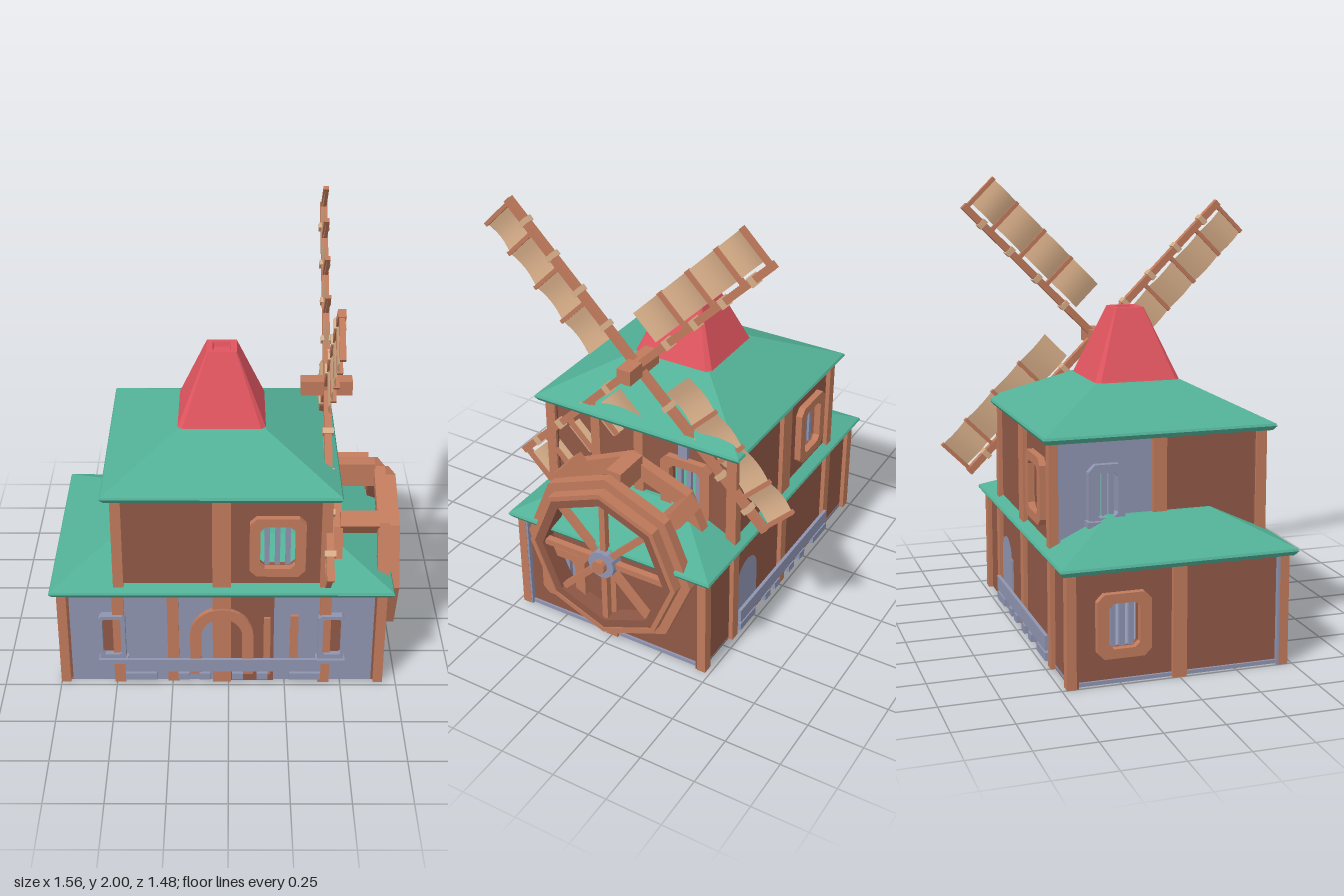
import * as THREE from 'three';

const mat = (name, color, extra = {}) => Object.assign(new THREE.MeshStandardMaterial({ color, ...extra }), { name });

export function createModel() {
  const root = new THREE.Group();
  root.name = 'mill';
  const wood = mat('timber', 0xc07a5c), plank = mat('dark planks', 0x905846), blue = mat('blue plaster', 0x8f94b0);
  const green = mat('green roof', 0x52b096), red = mat('red cap', 0xe0555f);
  const cloth = mat('sail cloth', 0xd6ad88, { side: THREE.DoubleSide });
  for (const m of [wood, plank, blue, green, red]) m.flatShading = true;

  const add = (parent, name, geo, material, x = 0, y = 0, z = 0) => {
    const m = new THREE.Mesh(geo, material);
    m.name = name;
    m.position.set(x, y, z);
    parent.add(m);
    return m;
  };
  const group = (parent, name, x = 0, y = 0, z = 0, ry = 0) => {
    const g = new THREE.Group();
    g.name = name;
    g.position.set(x, y, z);
    g.rotation.y = ry;
    parent.add(g);
    return g;
  };
  // Box given by its limits
  const block = (p, name, m, x0, x1, y0, y1, z0, z1) =>
    add(p, name, new THREE.BoxGeometry(x1 - x0, y1 - y0, z1 - z0), m, (x0 + x1) / 2, (y0 + y1) / 2, (z0 + z1) / 2);

  // Stacked rectangular sections [y, halfX, halfZ, chamfer]
  const loft = (sections) => {
    const rings = sections.map(([y, a, b, c = 0]) => (c
      ? [[-a + c, -b], [-a, -b + c], [-a, b - c], [-a + c, b], [a - c, b], [a, b - c], [a, -b + c], [a - c, -b]]
      : [[-a, -b], [-a, b], [a, b], [a, -b]]).map(([x, z]) => [x, y, z]));
    const pos = [], tri = (...v) => v.forEach((p) => pos.push(...p));
    const n = rings[0].length, top = rings[rings.length - 1], base = rings[0];
    for (let k = 0; k + 1 < rings.length; k++) for (let i = 0; i < n; i++) {
      const j = (i + 1) % n, a = rings[k], b = rings[k + 1];
      tri(a[i], a[j], b[j]);
      tri(a[i], b[j], b[i]);
    }
    for (let i = 1; i + 1 < n; i++) {
      tri(top[0], top[i], top[i + 1]);
      tri(base[0], base[i + 1], base[i]);
    }
    const g = new THREE.BufferGeometry();
    g.setAttribute('position', new THREE.Float32BufferAttribute(pos, 3));
    g.computeVertexNormals();
    return g;
  };

  // Rectangle outline with cut corners
  const outline = (Kind, cx, cy, w, h, c) => {
    const p = new Kind(), a = w / 2, b = h / 2;
    [[-a + c, -b], [a - c, -b], [a, -b + c], [a, b - c], [a - c, b], [-a + c, b], [-a, b - c], [-a, -b + c]]
      .forEach(([x, y], i) => (i ? p.lineTo(cx + x, cy + y) : p.moveTo(cx + x, cy + y)));
    p.closePath();
    return p;
  };
  const extrude = (shape, depth) => new THREE.ExtrudeGeometry(shape, { depth, bevelEnabled: false, curveSegments: 8 });

  // Wall panel with window openings [cx, cy, w, h]
  const wall = (p, m, x0, x1, y0, y1, holes = []) => {
    const s = new THREE.Shape([[x0, y0], [x1, y0], [x1, y1], [x0, y1]].map(([x, y]) => new THREE.Vector2(x, y)));
    holes.forEach(([cx, cy, w, h]) => s.holes.push(outline(THREE.Path, cx, cy, w, h, 0.02)));
    add(p, 'wall', extrude(s, 0.03), m, 0, 0, -0.03);
  };
  const post = (p, m, x, w, y0, y1, out = 0.02) => block(p, 'post', m, x - w / 2, x + w / 2, y0, y1, -0.02, out);

  // Framed window with upright bars
  const windowFrame = (p, m, cx, cy, w, h, inner, sill) => {
    const g = group(p, 'window');
    const s = outline(THREE.Shape, cx, cy, w, h, 0.03);
    s.holes.push(outline(THREE.Path, cx, cy, inner[0], inner[1], 0.02));
    add(g, 'windowFrame', extrude(s, 0.03), m);
    for (const k of [-1, 0, 1]) block(g, 'windowBar', blue, cx + k * inner[0] * 0.3 - 0.011, cx + k * inner[0] * 0.3 + 0.011,
      cy - inner[1] / 2, cy + inner[1] / 2, -0.025, -0.005);
    if (sill) block(g, 'windowSill', m, cx - w * 0.55, cx + w * 0.55, cy - h / 2, cy - h / 2 + 0.025, 0, 0.05);
  };

  const house = group(root, 'house', -0.03);

  // Floor
  block(house, 'floor', blue, -0.71, 0.71, 0.004, 0.02, -0.46, 0.46);
  block(house, 'floorPatch', plank, -0.16, 0.16, 0, 0.004, -0.08, 0.08);

  // Ground storey, front
  const front = group(house, 'groundFront', 0, 0, 0.46);
  wall(front, blue, -0.72, 0.72, 0, 0.48);
  block(front, 'doorPanel', plank, 0.02, 0.23, 0, 0.48, 0, 0.006);
  for (const s of [-1, 1]) {
    post(front, wood, s * 0.7, 0.042, 0, 0.48);
    post(front, wood, s * 0.455, 0.05, 0, 0.48);
    const frame = outline(THREE.Shape, s * 0.482, 0.25, 0.115, 0.24, 0.012);
    frame.holes.push(outline(THREE.Path, s * 0.485, 0.26, 0.08, 0.19, 0.008));
    add(front, 'sideWindowFrame', extrude(frame, 0.035), blue);
    block(front, 'sideWindowPane', plank, s * 0.485 - 0.045, s * 0.485 + 0.045, 0.16, 0.36, 0, 0.008);
    block(front, 'sideWindowSill', blue, s * 0.48 - 0.065, s * 0.48 + 0.065, 0.125, 0.145, 0, 0.05);
  }
  post(front, wood, -0.215, 0.05, 0, 0.48, 0.012);
  post(front, wood, 0, 0.08, 0, 0.48, 0.018);
  post(front, wood, 0.2, 0.03, 0.04, 0.35, 0.018);
  post(front, wood, 0.32, 0.035, 0.04, 0.36, 0.018);

  // Door arch
  const arch = new THREE.Shape();
  arch.moveTo(0.14, 0.05);
  arch.lineTo(0.14, 0.26);
  arch.absarc(0, 0.26, 0.14, 0, Math.PI, false);
  arch.lineTo(-0.14, 0.05);
  arch.lineTo(-0.09, 0.05);
  arch.lineTo(-0.09, 0.26);
  arch.absarc(0, 0.26, 0.09, Math.PI, 0, true);
  arch.lineTo(0.09, 0.05);
  add(front, 'doorArch', extrude(arch, 0.025), wood);

  // Ground storey, back
  const back = group(house, 'groundBack', 0, 0, -0.46, Math.PI);
  wall(back, plank, -0.72, 0.72, 0, 0.48);
  for (const x of [-0.7, -0.455, 0, 0.455, 0.7]) post(back, wood, x, 0.048, 0, 0.48);
  block(back, 'bluePanel', blue, -0.42, -0.24, 0, 0.26, 0, 0.008);
  add(back, 'bluePanelArch', new THREE.CircleGeometry(0.09, 12, 0, Math.PI), blue, -0.33, 0.26, 0.008);

  // Railings with low blocks
  for (const side of [front, back]) {
    const rail = group(side, 'railing');
    block(rail, 'rail', blue, -0.43, 0.44, 0.07, 0.135, 0.02, 0.035);
    for (const [x, w] of [[-0.36, 0.14], [-0.17, 0.05], [-0.075, 0.05], [0.07, 0.05], [0.18, 0.05], [0.37, 0.14]])
      block(rail, 'railFoot', blue, x - w / 2, x + w / 2, 0.025, 0.06, 0, 0.035);
  }

  // Ground storey, both ends
  for (const s of [-1, 1]) {
    const end = group(house, 'groundEnd', s * 0.7, 0, 0, s * Math.PI / 2);
    wall(end, plank, -0.46, 0.46, 0, 0.48, [[-0.24, 0.25, 0.13, 0.2]]);
    windowFrame(end, wood, -0.24, 0.25, 0.23, 0.27, [0.13, 0.19]);
    post(end, blue, -s * 0.455, 0.045, 0, 0.48);
    post(end, wood, s * 0.455, 0.045, 0, 0.48);
    post(end, wood, 0, 0.06, 0, 0.48);
  }

  // Upper storey, front and back
  for (const s of [1, -1]) {
    const side = group(house, 'upperWall', 0, 0, s * 0.46, s > 0 ? 0 : Math.PI);
    wall(side, plank, -0.46, 0.46, 0.48, 0.97, [[0.24, 0.725, 0.16, 0.22]]);
    windowFrame(side, wood, 0.24, 0.725, 0.24, 0.29, [0.15, 0.21]);
    for (const [x, w] of [[-0.448, 0.045], [0, 0.08], [0.448, 0.045]]) post(side, wood, x, w, 0.48, 0.97);
  }

  // Upper storey, ends
  const right = group(house, 'upperRight', 0.45, 0, 0, Math.PI / 2);
  wall(right, plank, -0.46, 0.46, 0.48, 0.97, [[0.235, 0.725, 0.16, 0.22]]);
  block(right, 'bluePost', blue, 0.195, 0.24, 0.87, 0.97, 0, 0.015);
  windowFrame(right, wood, 0.235, 0.725, 0.24, 0.29, [0.15, 0.21]);
  for (const x of [-0.455, -0.22, 0, 0.455]) post(right, wood, x, 0.045, 0.48, 0.97);
  const left = group(house, 'upperLeft', -0.45, 0, 0, -Math.PI / 2);
  wall(left, blue, -0.46, 0, 0.48, 0.97, [[-0.235, 0.725, 0.1, 0.2]]);
  wall(left, plank, 0, 0.46, 0.48, 0.97);
  windowFrame(left, blue, -0.235, 0.725, 0.16, 0.26, [0.1, 0.19], true);
  post(left, blue, -0.455, 0.045, 0.48, 0.97);
  post(left, wood, 0, 0.06, 0.48, 0.97);
  post(left, wood, 0.455, 0.045, 0.48, 0.97);

  // Roofs and cap
  add(house, 'lowerRoof', loft([[0.475, 0.735, 0.495], [0.495, 0.75, 0.51], [0.505, 0.745, 0.505], [0.635, 0.47, 0.23]]), green);
  add(house, 'upperRoof', loft([[0.955, 0.495, 0.495], [0.975, 0.51, 0.51], [0.985, 0.505, 0.505], [1.14, 0.19, 0.19]]), green);
  add(house, 'cap', loft([[1.13, 0.195, 0.195, 0.02], [1.145, 0.188, 0.188, 0.02], [1.445, 0.065, 0.065, 0.004],
    [1.445, 0.04, 0.04, 0.003], [1.425, 0.035, 0.035, 0.003]]), red);

  // Octagonal rims, spokes and hub of the water wheel
  const wheel = group(root, 'waterWheel', 0, 0.435, 0, Math.PI / 2);
  const octagon = (Kind, r) => {
    const pts = Array.from({ length: 8 }, (_, i) => new THREE.Vector2(Math.cos(i * Math.PI / 4) * r, Math.sin(i * Math.PI / 4) * r));
    return new Kind(pts);
  };
  const rim = (name, m, R, r, x0, x1) => {
    const s = octagon(THREE.Shape, R);
    s.holes.push(octagon(THREE.Path, r));
    return add(wheel, name, extrude(s, x1 - x0), m, 0, 0, x0);
  };
  rim('outerRim', wood, 0.412, 0.36, 0.655, 0.705);
  rim('frontRim', wood, 0.368, 0.345, 0.69, 0.755);
  rim('innerRim', plank, 0.345, 0.305, 0.66, 0.75);
  rim('rearRim', wood, 0.41, 0.33, 0.45, 0.5).rotation.z = 0.04;
  for (let i = 0; i < 8; i++) {
    const arm = new THREE.Group();
    arm.name = 'wheelArm';
    arm.rotation.z = i * Math.PI / 4;
    wheel.add(arm);
    block(arm, 'spoke', wood, 0.04, 0.32, -0.014, 0.014, 0.705, 0.735);
    const paddle = new THREE.Group();
    paddle.rotation.z = -0.04;
    paddle.name = 'paddle';
    arm.add(paddle);
    block(paddle, 'paddleBoard', wood, 0.32, 0.43, -0.036, 0.036, 0.49, 0.66);
  }
  const rod = (name, m, r, x0, x1) => {
    const g = new THREE.CylinderGeometry(r, r, x1 - x0, 12).rotateX(Math.PI / 2);
    add(wheel, name, g, m, 0, 0, (x0 + x1) / 2);
  };
  rod('hub', blue, 0.065, 0.69, 0.755);
  rod('axle', wood, 0.032, 0.45, 0.78);

  // Windmill sails
  const sails = group(root, 'sails', 0.43, 1.255, 0, Math.PI / 2);
  block(sails, 'sailAxle', wood, -0.033, 0.033, -0.033, 0.033, -0.115, 0.11);
  const bars = [0.16, 0.34, 0.52, 0.7, 0.855];
  for (let i = 0; i < 4; i++) {
    const arm = new THREE.Group();
    arm.name = 'sail';
    arm.rotation.z = Math.PI / 4 + i * Math.PI / 2;
    sails.add(arm);
    block(arm, 'sailArm', wood, 0, 0.87, -0.016, 0.016, -0.016, 0.016);
    bars.forEach((r, k) => {
      if (k) block(arm, 'sailBar', wood, r - 0.009, r + 0.009, 0, 0.186, -0.012, 0.012);
      if (k < 4) block(arm, 'binding', cloth, r + 0.04, r + 0.065, -0.022, 0.022, -0.024, 0.024);
    });
    for (let k = 0; k < 4; k++) {
      const w = bars[k + 1] - bars[k], g = new THREE.PlaneGeometry(w, 0.15, 6, 1), p = g.attributes.position;
      for (let v = 0; v < p.count; v++) p.setZ(v, -0.016 * Math.cos(p.getX(v) / w * Math.PI));
      g.computeVertexNormals();
      add(arm, 'sailCloth', g, cloth, (bars[k] + bars[k + 1]) / 2, 0.108, 0);
    }
  }
  return root;
}
